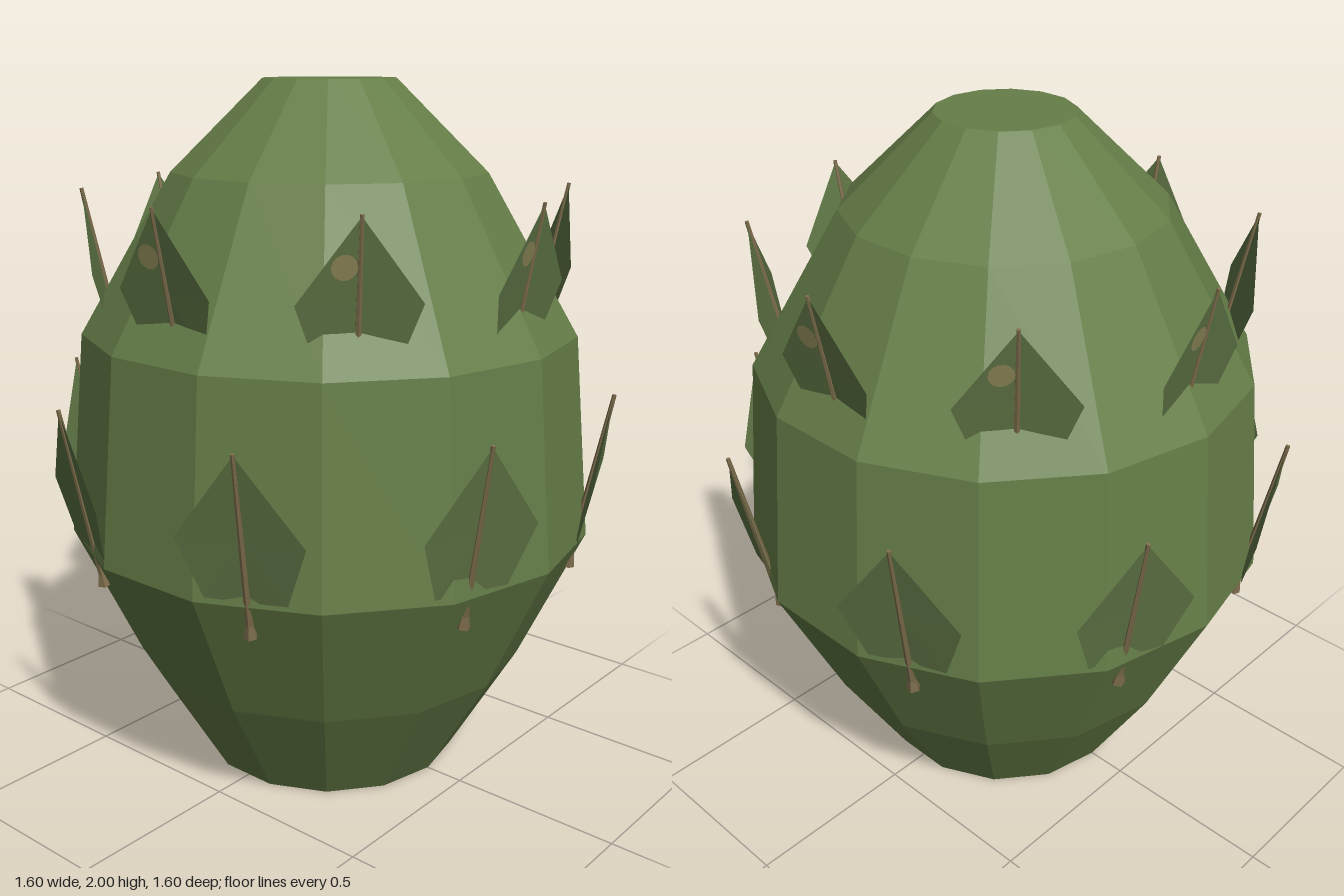
import * as THREE from 'three';

export function createModel() {
  const model = new THREE.Group();
  const material = (name, color, extra = {}) => {
    const m = new THREE.MeshStandardMaterial({ color, flatShading: true, ...extra });
    m.name = name;
    return m;
  };
  const bodyGreen = material('body green', 0x667e48);
  const leafGreen = material('leaf green', 0x607646, { side: THREE.DoubleSide });
  const stemBrown = material('stem brown', 0x7d6d4c);
  const spotTan = material('spot tan', 0x8f8858, { side: THREE.DoubleSide });

  const add = (parent, name, geometry, mat) => {
    const mesh = new THREE.Mesh(geometry, mat);
    mesh.name = name;
    parent.add(mesh);
    return mesh;
  };

  // Faceted bulb body, closed at both ends
  const profile = [
    [0, 0], [0.385, 0], [0.58, 0.33], [0.765, 0.725],
    [0.713, 1.305], [0.45, 1.75], [0.19, 2], [0, 2],
  ].map(([r, y]) => new THREE.Vector2(r, y));
  add(model, 'body', new THREE.LatheGeometry(profile, 14, Math.PI / 14), bodyGreen);

  // Arrowhead leaf, creased along the middle, hanging down from its tip
  const leafGeometry = new THREE.BufferGeometry();
  leafGeometry.setAttribute('position', new THREE.Float32BufferAttribute([
    0, 0, 0, 0, -0.24, 0, 0, -0.42, 0,
    -0.172, -0.235, 0.016, -0.112, -0.41, 0.012,
    0.172, -0.235, 0.016, 0.112, -0.41, 0.012,
  ], 3));
  leafGeometry.setIndex([0, 3, 1, 3, 4, 1, 4, 2, 1, 0, 1, 5, 5, 1, 6, 6, 1, 2]);
  leafGeometry.computeVertexNormals();

  const ribGeometry = new THREE.CylinderGeometry(0.006, 0.011, 0.5, 6).translate(0, -0.245, 0);
  const stemGeometry = new THREE.CylinderGeometry(0.008, 0.02, 0.05, 5).translate(0, -0.5, 0);
  const spotGeometry = new THREE.CircleGeometry(0.036, 14);

  function addLeaf(name, angle, radius, y, scale, spotted) {
    const pivot = new THREE.Group();
    pivot.name = name;
    pivot.rotation.y = angle;
    const leaf = new THREE.Group();
    leaf.position.set(0, y, radius);
    leaf.rotation.x = 0.2;
    leaf.scale.setScalar(scale);
    add(leaf, 'leafBlade', leafGeometry, leafGreen);
    add(leaf, 'leafRib', ribGeometry, stemBrown);
    add(leaf, 'leafStem', stemGeometry, stemBrown);
    if (spotted) {
      const spot = add(leaf, 'leafSpot', spotGeometry, spotTan);
      spot.position.set(-0.042, -0.135, 0.007);
      spot.rotation.y = 0.093;
    }
    pivot.add(leaf);
    model.add(pivot);
  }

  // Two staggered rings of eight leaves
  for (let i = 0; i < 8; i++) {
    const angle = i * Math.PI / 4 + 0.022;
    addLeaf('upperLeaf', angle, 0.694, 1.7, 0.92, true);
    addLeaf('lowerLeaf', angle + Math.PI / 8, 0.823, 1.147, 1, false);
  }

  // Faint marks under the base
  for (const [x, z, rx, rz] of [[-0.145, 0.045, 0.035, 0.035], [0.125, -0.075, 0.08, 0.02]]) {
    const mark = add(model, 'baseMark', new THREE.CircleGeometry(1, 12), spotTan);
    mark.position.set(x, -0.001, z);
    mark.scale.set(rx, rz, 1);
    mark.rotation.set(Math.PI / 2, 0, Math.PI / 4);
  }
  return model;
}
